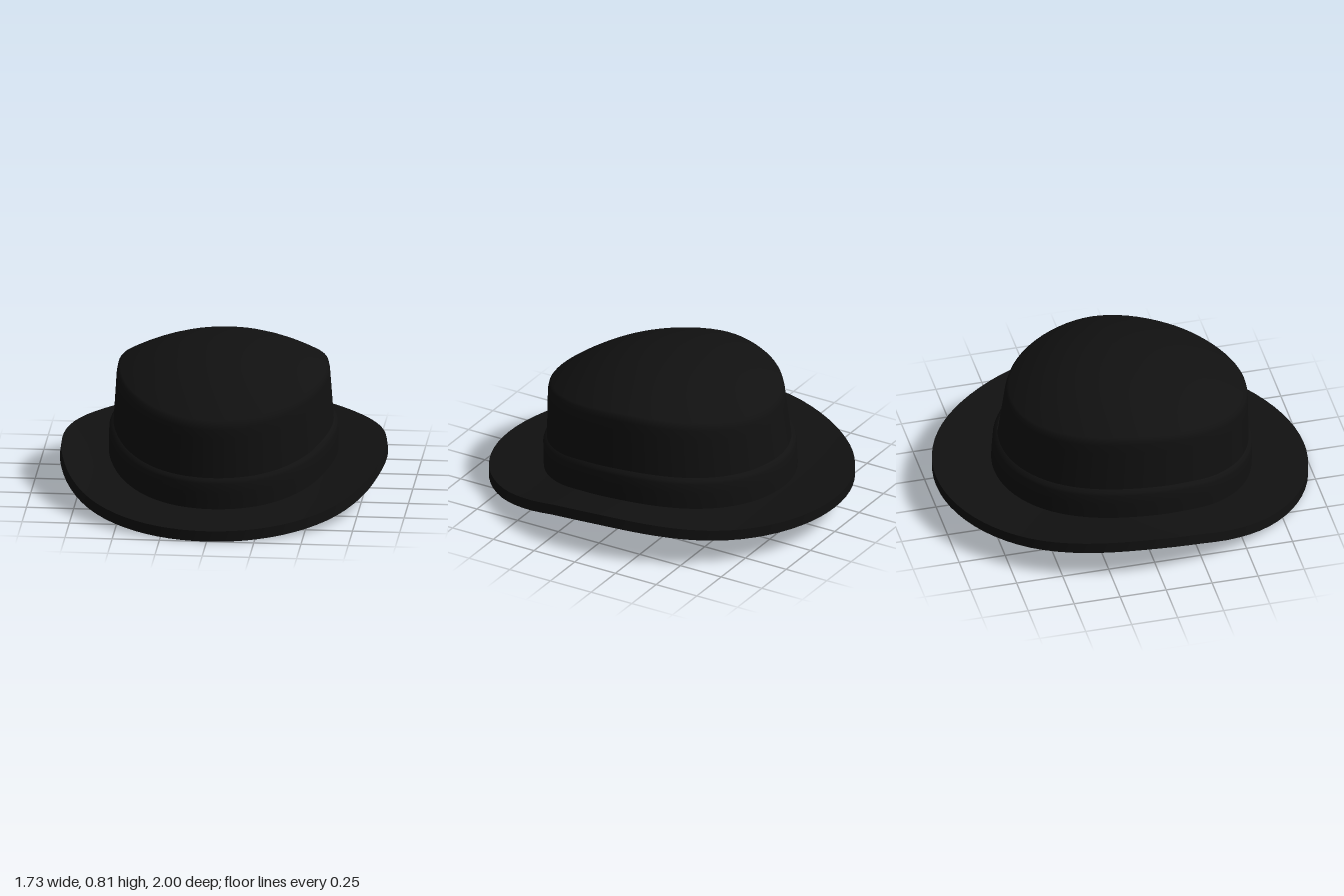
import * as THREE from 'three';
import { toCreasedNormals } from 'three/addons/utils/BufferGeometryUtils.js';

const SEGMENTS = 80;
const THICK = 0.057;
const lerp = THREE.MathUtils.lerp;

// Smooth curve through [z, y] points, sorted by z
function profile(points) {
  const slope = (i) => {
    const a = points[Math.max(i - 1, 0)], b = points[Math.min(i + 1, points.length - 1)];
    return (b[1] - a[1]) / (b[0] - a[0]);
  };
  return (z) => {
    z = THREE.MathUtils.clamp(z, points[0][0], points[points.length - 1][0]);
    let i = 0;
    while (i < points.length - 2 && z > points[i + 1][0]) i++;
    const [z0, y0] = points[i], [z1, y1] = points[i + 1], w = z1 - z0, t = (z - z0) / w;
    const t2 = t * t, t3 = t2 * t;
    return (2 * t3 - 3 * t2 + 1) * y0 + (t3 - 2 * t2 + t) * w * slope(i)
      + (3 * t2 - 2 * t3) * y1 + (t3 - t2) * w * slope(i + 1);
  };
}

// Height of the brim along the hat, and of the crown's shoulder
const brimLine = profile([[-1, 0.2], [-0.65, 0.183], [-0.1, 0.188], [0.2, 0.165], [0.4, 0.128], [0.65, 0.088], [1, 0.057]]);
const shoulderLine = profile([[-0.62, 0.62], [-0.3, 0.66], [0, 0.67], [0.4, 0.61], [0.69, 0.54]]);
const brimHeight = (x, z) => brimLine(z) + 0.048 * Math.pow(Math.abs(x) / 0.865, 3);

// Oval with its own front and back reach
function oval(a, rx, front, back, scale = 1, centre = (front - back) / 2) {
  return [rx * scale * Math.sin(a), centre + (front + back) / 2 * scale * Math.cos(a)];
}

// Crown wall: t runs from the brim (0) to the shoulder (1)
function wallPoint(a, t, grow = 0, drop = 0) {
  const [x, z] = oval(a, lerp(0.592, 0.56, t) + grow, lerp(0.686, 0.68, t) + grow, lerp(0.672, 0.608, t) + grow);
  const [bx, bz] = oval(a, 0.592, 0.686, 0.672);
  return [x, lerp(brimHeight(bx, bz) - drop, shoulderLine(z), t), z];
}

// Crown top: s runs from the shoulder (1) to the middle (0)
function topPoint(a, s, grow = 0) {
  const [x, z] = oval(a, 0.56 + grow, 0.68 + grow, 0.608 + grow, s, lerp(-0.05, 0.036, s));
  const edge = shoulderLine(oval(a, 0.56, 0.68, 0.608)[1]);
  return [x, edge + (0.807 - edge) * (1 - Math.pow(s, 2.2)) + grow, z];
}

// Skin a list of rings, each a function of the angle
function loft(name, rings, material, crease = 0.9) {
  const position = [], index = [];
  for (const ring of rings) {
    for (let i = 0; i < SEGMENTS; i++) position.push(...ring(i / SEGMENTS * Math.PI * 2));
  }
  for (let j = 0; j < rings.length - 1; j++) {
    for (let i = 0; i < SEGMENTS; i++) {
      const n = (i + 1) % SEGMENTS, a = j * SEGMENTS, b = a + SEGMENTS;
      index.push(a + i, a + n, b + n, a + i, b + n, b + i);
    }
  }
  const geometry = new THREE.BufferGeometry();
  geometry.setAttribute('position', new THREE.Float32BufferAttribute(position, 3));
  geometry.setIndex(index);
  const mesh = new THREE.Mesh(toCreasedNormals(geometry, crease), material);
  mesh.name = name;
  return mesh;
}

export function createModel() {
  const hat = new THREE.Group();
  hat.name = 'hat';
  const felt = new THREE.MeshStandardMaterial({ color: 0x111111 });

  // Brim: underside outwards, over the rim, back along the top
  const brimRing = (u, drop) => (a) => {
    const flare = drop ? 0 : 0.008 * u * Math.abs(Math.sin(a));
    const [x, z] = oval(a, lerp(0.555, 0.865, u) - flare, lerp(0.65, 1, u), lerp(0.635, 1, u));
    return [x, brimHeight(x, z) - drop, z];
  };
  const steps = [0, 0.15, 0.3, 0.45, 0.6, 0.75, 0.9, 1];
  hat.add(loft('brim', [
    ...steps.map((u) => brimRing(u, THICK)),
    ...steps.slice().reverse().map((u) => brimRing(u, 0)),
  ], felt));

  // Crown: wall, rounded shoulder and domed top
  const crownRings = (grow, drop) => {
    const rings = [];
    for (let i = 0; i <= 9; i++) rings.push((a) => wallPoint(a, i / 9 * 0.94, grow, drop));
    for (const s of [0.992, 0.97, 0.93, 0.87, 0.78, 0.68, 0.57, 0.46, 0.35, 0.24, 0.12, 0]) {
      rings.push((a) => topPoint(a, s, grow));
    }
    return rings;
  };
  hat.add(loft('crown', crownRings(0, 0.01), felt, 1.2));

  // Lining: the crown's inside, facing inwards
  hat.add(loft('lining', crownRings(-0.037, THICK).reverse(), felt, 1.2));

  // Ribbon band around the foot of the crown
  const bandRing = (h, grow) => (a) => {
    const [x, , z] = wallPoint(a, Math.max(h, 0) / 0.5 * 0.8, grow);
    const [bx, bz] = oval(a, 0.592, 0.686, 0.672);
    return [x, brimHeight(bx, bz) + h, z];
  };
  hat.add(loft('band', [
    bandRing(-0.01, 0.013), bandRing(0.04, 0.015), bandRing(0.09, 0.017),
    bandRing(0.14, 0.018), bandRing(0.155, 0.014), bandRing(0.168, -0.004),
  ], felt, 1.2));

  return hat;
}
